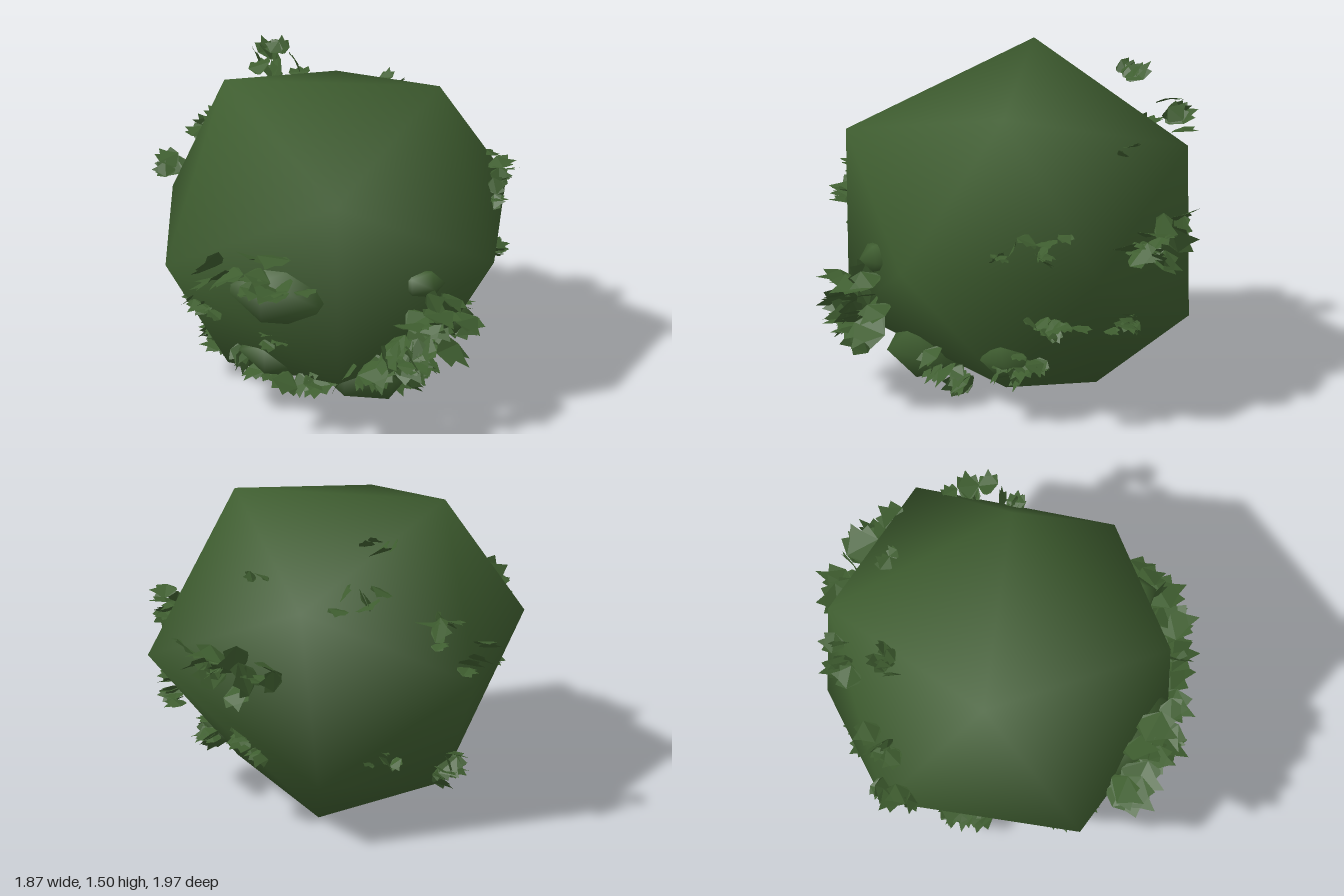
import * as THREE from 'three';
import { mergeGeometries, mergeVertices } from 'three/addons/utils/BufferGeometryUtils.js';
import { ConvexGeometry } from 'three/addons/geometries/ConvexGeometry.js';

const V = (x, y, z) => new THREE.Vector3(x, y, z);
const CENTRE = V(0, 0.76, -0.06);

// Small seeded generator, returns -1..1
function makeRandom(seed) {
  let s = seed;
  return () => {
    s = (s * 16807) % 2147483647;
    return (s / 2147483647) * 2 - 1;
  };
}

// Shares the corners so that the normals run smoothly across faces
function smooth(geometry) {
  geometry.deleteAttribute('normal');
  geometry.deleteAttribute('uv');
  const merged = mergeVertices(geometry, 1e-4);
  merged.computeVertexNormals();
  return merged;
}

// One pointed leaf with a tooth on each side, base at the origin, creased along the middle
function leafGeometry() {
  const outline = (side) => [[0.14, 0.06], [0.38, 0.42], [0.32, 0.8], [0.14, 0.74]]
    .map(([x, y]) => new THREE.Vector2(x * side, y));
  const shape = new THREE.Shape([
    new THREE.Vector2(0, 0), ...outline(1), new THREE.Vector2(0, 1), ...outline(-1).reverse(),
  ]);
  const g = new THREE.ShapeGeometry(shape).toNonIndexed();
  const p = g.attributes.position;
  for (let i = 0; i < p.count; i++) p.setZ(i, Math.abs(p.getX(i)) * 0.25);
  g.computeVertexNormals();
  return g;
}

// Fan of leaves growing away from the bush; the first leaf stands straight
function leafCluster(base, count, length, random) {
  const leaf = leafGeometry();
  const out = base.clone().sub(CENTRE);
  out.y *= 0.5;
  out.normalize();
  const leaves = [];
  for (let i = 0; i < count; i++) {
    const loose = i === 0 ? 0 : 1;
    const up = V(random(), random() * 0.6, random()).multiplyScalar(0.6 * loose).add(out).normalize();
    const side = V(random(), random() * 0.4, random()).cross(up).cross(up).normalize();
    const face = side.clone().cross(up).normalize();
    const size = length * (1 - 0.2 * loose * (1 + random()));
    const at = V(random(), random() * 0.5, random()).projectOnPlane(out)
      .multiplyScalar(0.7 * length * loose).add(base);
    const m = new THREE.Matrix4().makeBasis(side, up, face).scale(V(size, size, size)).setPosition(at);
    leaves.push(leaf.clone().applyMatrix4(m));
  }
  return mergeGeometries(leaves);
}

export function createModel() {
  const group = new THREE.Group();
  group.name = 'bush';
  const green = new THREE.MeshStandardMaterial({ color: 0x3f5e30, side: THREE.DoubleSide });
  green.name = 'leafGreen';
  const add = (name, geometry) => {
    const mesh = new THREE.Mesh(geometry, green);
    mesh.name = name;
    group.add(mesh);
  };

  // Main many-cornered foliage body
  add('foliageBody', smooth(new ConvexGeometry([
    V(0.43, 1.2, 0.64), V(0.43, 0.3, 0.62), V(-0.42, 0.77, 0.76),
    V(0.885, 0.77, -0.04), V(-0.43, 1.5, 0.2), V(-0.41, 0.07, 0.2),
    V(-0.86, 0.77, -0.06), V(0.44, 1.47, -0.3), V(0.42, 0.13, -0.3),
    V(-0.38, 1.2, -0.75), V(-0.45, 0.32, -0.7), V(0.46, 0.8, -0.88),
    V(-0.16, 0, -0.38),
  ])));

  // Small bulges breaking through the surface: centre, radius
  const bulges = [
    [0.1, 0.7, 0.56, 0.31], [-0.03, 0.28, 0.38, 0.2], [0.32, 0.21, 0.2, 0.26],
    [0.66, 0.73, 0.25, 0.12], [0.42, 0.3, -0.33, 0.17],
  ];
  for (const [x, y, z, r] of bulges) {
    const bulge = smooth(new THREE.IcosahedronGeometry(r, 0));
    add('foliageBulge', bulge.scale(1, 0.62, 0.8).translate(x, y, z));
  }

  // Leaf clusters: base, leaf count, leaf length
  const clusters = [
    // front
    [-0.1, 0.78, 0.73, 6, 0.25],
    [0.14, 0.77, 0.71, 6, 0.23],
    [0.14, 0.9, 0.66, 2, 0.22],
    [-0.28, 0.55, 0.58, 6, 0.14],
    [0.13, 0.49, 0.6, 4, 0.12],
    [-0.1, 0.24, 0.4, 7, 0.16],
    [0.25, 0.27, 0.5, 7, 0.17],
    // right side
    [0.7, 0.61, 0.27, 9, 0.23],
    [0.62, 0.44, 0.34, 12, 0.25],
    [0.51, 0.38, 0.45, 9, 0.23],
    [0.42, 0.18, 0, 12, 0.16],
    [0.44, 0.3, -0.4, 10, 0.15],
    [0.48, 0.56, -0.62, 8, 0.14],
    [0.52, 0.96, -0.61, 6, 0.14],
    [0.62, 0.88, -0.42, 4, 0.11],
    // back
    [-0.13, 0.84, -0.77, 8, 0.22],
    [0.13, 0.83, -0.8, 8, 0.19],
    [0.03, 0.45, -0.64, 7, 0.15],
    [-0.06, 1.26, -0.62, 2, 0.1],
    // left side
    [-0.46, 1.4, -0.32, 5, 0.15],
    [-0.55, 1.2, -0.48, 6, 0.17],
    [-0.68, 1.03, -0.17, 6, 0.16],
    [-0.79, 0.87, -0.03, 5, 0.15],
    [-0.45, 0.23, 0.13, 13, 0.16],
    [-0.54, 0.42, -0.35, 4, 0.14],
    // underside
    [0.04, 0.11, -0.05, 5, 0.1],
  ];
  const random = makeRandom(4711);
  for (const [x, y, z, count, length] of clusters) {
    add('leafCluster', leafCluster(V(x, y, z), count, length, random));
  }
  return group;
}
